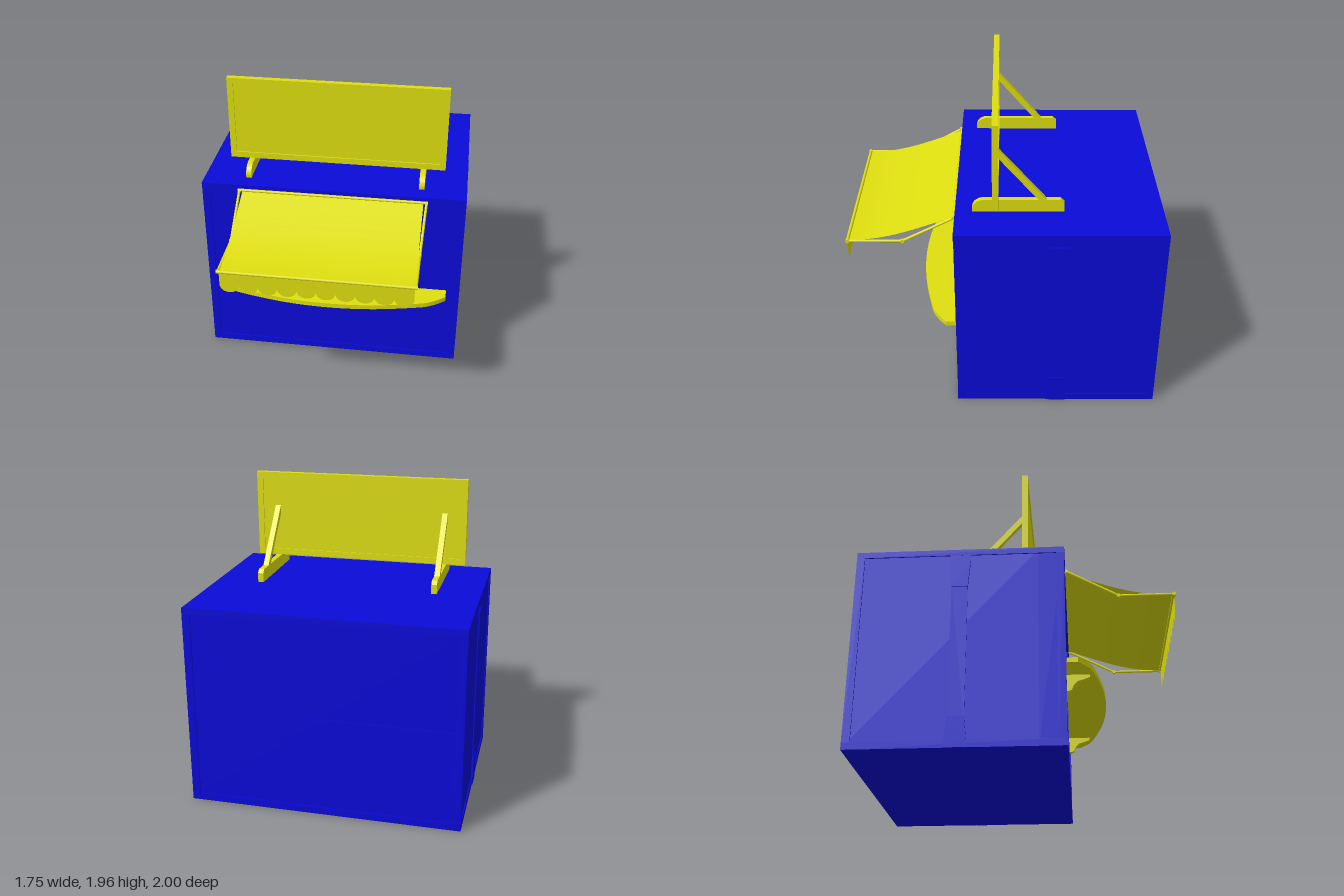
import * as THREE from 'three';

const blue = new THREE.MeshStandardMaterial({ color: 0x0a0ad8 });
const yellow = new THREE.MeshStandardMaterial({ color: 0xdede10 });
const yellowThin = new THREE.MeshStandardMaterial({ color: 0xdede10, side: THREE.DoubleSide });

export function createModel() {
  const root = new THREE.Group();

  const add = (name, geo, mat, parent = root) => {
    const m = new THREE.Mesh(geo, mat);
    m.name = name;
    parent.add(m);
    return m;
  };
  const group = (name) => {
    const g = new THREE.Group();
    g.name = name;
    root.add(g);
    return g;
  };
  // Box given by its minimum and maximum on each axis
  const box = (name, x0, x1, y0, y1, z0, z1, mat, parent) => {
    const m = add(name, new THREE.BoxGeometry(x1 - x0, y1 - y0, z1 - z0), mat, parent);
    m.position.set((x0 + x1) / 2, (y0 + y1) / 2, (z0 + z1) / 2);
    return m;
  };
  const polygon = (pts) => new THREE.Shape(pts.map(([a, b]) => new THREE.Vector2(a, b)));
  // Side profile in (z, y), extruded along x and centred on x
  const sideProfile = (name, shape, x, width, mat, parent) => {
    const geo = new THREE.ExtrudeGeometry(shape, { depth: width, bevelEnabled: false, curveSegments: 10 });
    geo.translate(0, 0, -width / 2).rotateY(-Math.PI / 2);
    const m = add(name, geo, mat, parent);
    m.position.x = x;
    return m;
  };
  // Round bar between two points
  const bar = (name, a, b, r, parent) => {
    const p = new THREE.Vector3(...a), q = new THREE.Vector3(...b);
    const m = add(name, new THREE.CylinderGeometry(r, r, p.distanceTo(q), 10), yellow, parent);
    m.position.copy(p).add(q).multiplyScalar(0.5);
    m.quaternion.setFromUnitVectors(new THREE.Vector3(0, 1, 0), q.sub(p).normalize());
    return m;
  };

  // Kiosk body: core, then a front wall with the serving window
  const body = group('body');
  box('core', -0.862, 0.862, 0.02, 1.29, -0.992, 0.14, blue, body);
  const wall = polygon([[-0.862, 0.02], [0.862, 0.02], [0.862, 1.29], [-0.862, 1.29]]);
  wall.holes.push(polygon([[-0.595, 0.62], [-0.595, 1.265], [0.595, 1.265], [0.595, 0.62]]));
  add('frontWall', new THREE.ExtrudeGeometry(wall, { depth: 0.152, bevelEnabled: false }), blue, body)
    .position.z = 0.14;
  box('windowLedge', -0.595, 0.595, 0.62, 0.69, 0.14, 0.155, blue, body);
  box('bottomRim', -0.87, 0.87, 0, 0.045, -1, 0.302, blue, body);
  box('topRim', -0.87, 0.87, 1.265, 1.305, -1, 0.302, blue, body);
  for (const s of [-1, 1]) {
    for (const z of [-0.975, 0.275]) {
      box('cornerPost', s * 0.845 - 0.025, s * 0.845 + 0.025, 0.045, 1.265, z - 0.025, z + 0.025, blue, body);
    }
  }
  for (const x of [-0.6, 0, 0.6]) {
    box('frontSeam', x - 0.003, x + 0.003, 0.045, 0.6, 0.29, 0.296, blue, body);
  }
  box('backSeam', -0.82, 0.82, 0.645, 0.655, -0.997, -0.99, blue, body);

  // Side columns, flared at head and foot
  const zc = -0.345;
  const half = [[0.065, 0], [0.065, 0.05], [0.05, 0.17], [0.05, 1.05], [0.065, 1.22], [0.065, 1.27]];
  const column = polygon([
    ...half.map(([w, y]) => [zc + w, y]),
    ...half.slice().reverse().map(([w, y]) => [zc - w, y]),
  ]);
  for (const s of [-1, 1]) {
    sideProfile('sideColumn', column, s * 0.862, 0.014, blue, body);
    const foot = polygon([[zc - 0.065, 0], [zc + 0.065, 0], [zc + 0.065, 0.05], [zc + 0.05, 0.19], [zc - 0.05, 0.19], [zc - 0.065, 0.05]]);
    const head = polygon([[zc - 0.05, 1.04], [zc + 0.05, 1.04], [zc + 0.065, 1.22], [zc - 0.065, 1.22]]);
    sideProfile('columnFoot', foot, s * 0.866, 0.018, blue, body);
    sideProfile('columnHead', head, s * 0.866, 0.018, blue, body);
  }

  // Bow-fronted counter on two brackets
  const counter = group('counter');
  const top = new THREE.Shape();
  top.moveTo(-0.78, -0.29);
  top.lineTo(-0.78, -0.37);
  top.splineThru([[-0.7, -0.43], [-0.6, -0.47], [-0.3, -0.53], [0, -0.55], [0.3, -0.53], [0.6, -0.47], [0.7, -0.43], [0.78, -0.37]]
    .map((p) => new THREE.Vector2(...p)));
  top.lineTo(0.78, -0.29);
  const topGeo = new THREE.ExtrudeGeometry(top, { depth: 0.032, bevelEnabled: false, curveSegments: 3 });
  add('counterTop', topGeo.rotateX(-Math.PI / 2), yellow, counter).position.y = 0.553;
  const bracket = polygon([[0.29, 0.555], [0.29, 0.445], [0.31, 0.445], [0.327, 0.455], [0.34, 0.485],
    [0.365, 0.51], [0.4, 0.52], [0.44, 0.535], [0.44, 0.555]]);
  for (const s of [-1, 1]) sideProfile('counterBracket', bracket, s * 0.575, 0.036, yellow, counter);

  // Roof sign: frame, recessed panel, feet and diagonal struts
  const sign = group('roofSign');
  box('signPanel', -0.69, 0.69, 1.42, 1.93, 0.038, 0.06, yellow, sign);
  box('signFrameBottom', -0.72, 0.72, 1.388, 1.428, 0.03, 0.068, yellow, sign);
  box('signFrameTop', -0.72, 0.72, 1.925, 1.96, 0.03, 0.068, yellow, sign);
  for (const s of [-1, 1]) {
    box('signFrameSide', s * 0.7 - 0.02, s * 0.7 + 0.02, 1.428, 1.925, 0.03, 0.068, yellow, sign);
  }
  box('signBackSeam', -0.005, 0.005, 1.428, 1.925, 0.034, 0.04, yellow, sign);

  const foot = new THREE.Shape();
  foot.moveTo(-0.38, 1.3);
  foot.lineTo(0.195, 1.3);
  foot.lineTo(0.195, 1.325);
  foot.quadraticCurveTo(0.185, 1.388, 0.11, 1.388);
  foot.lineTo(-0.355, 1.388);
  foot.lineTo(-0.38, 1.365);
  const strut = polygon([[0.032, 1.735], [0.032, 1.68], [-0.225, 1.38], [-0.275, 1.38]]);
  for (const s of [-1, 1]) {
    sideProfile('signFoot', foot, s * 0.575, 0.036, yellow, sign);
    sideProfile('signStrut', strut, s * 0.575, 0.036, yellow, sign);
  }

  // Awning: sagging cloth, scalloped valance, bars and folding arms
  const awning = group('awning');
  const sag = new THREE.CatmullRomCurve3([[1.27, 0.305], [1.21, 0.46], [1.135, 0.68], [1.1, 0.85], [1.09, 0.99]]
    .map(([y, z]) => new THREE.Vector3(0, y, z)));
  const cloth = new THREE.PlaneGeometry(1.19, 1, 1, 16);
  const pos = cloth.attributes.position;
  for (let i = 0; i < pos.count; i++) {
    const p = sag.getPoint(0.5 - pos.getY(i));
    pos.setXYZ(i, pos.getX(i), p.y, p.z);
  }
  cloth.computeVertexNormals();
  add('awningCloth', cloth, yellowThin, awning);

  const valance = new THREE.Shape();
  const n = 10, w = 1.19 / n;
  valance.moveTo(-0.595, 1.09);
  valance.lineTo(-0.595, 0.99);
  for (let i = 0; i < n; i++) {
    const x = -0.595 + i * w;
    valance.bezierCurveTo(x + w * 0.1, 0.93, x + w * 0.9, 0.93, x + w, 0.99);
  }
  valance.lineTo(0.595, 1.09);
  add('awningValance', new THREE.ShapeGeometry(valance, 8), yellowThin, awning).position.z = 0.99;

  bar('awningWallBar', [-0.62, 1.272, 0.308], [0.62, 1.272, 0.308], 0.01, awning);
  bar('awningFrontBar', [-0.605, 1.09, 0.988], [0.605, 1.09, 0.988], 0.011, awning);
  for (const s of [-1, 1]) {
    const wallEnd = [s * 0.615, 1.27, 0.31], elbow = [s * 0.602, 1.09, 0.64], tip = [s * 0.602, 1.09, 0.988];
    bar('upperArm', wallEnd, elbow, 0.009, awning);
    bar('lowerArm', elbow, tip, 0.009, awning);
    for (const p of [wallEnd, elbow, tip]) {
      bar('armJoint', [p[0] - 0.01, p[1], p[2]], [p[0] + 0.01, p[1], p[2]], 0.013, awning);
    }
  }
  return root;
}
